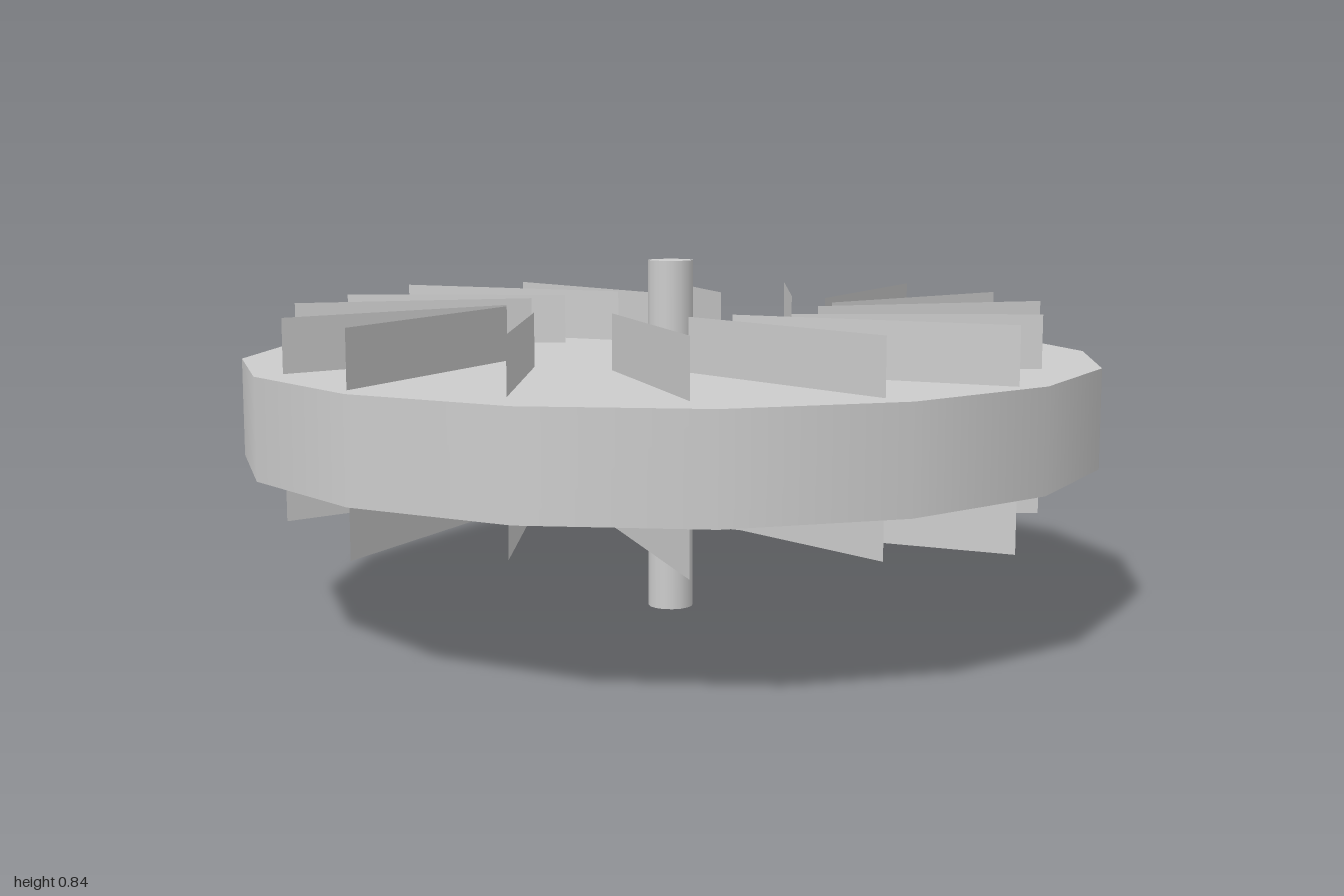
import * as THREE from 'three';

export function createModel() {
  const model = new THREE.Group();
  const material = new THREE.MeshStandardMaterial({ color: 0xcccccc });
  const thin = new THREE.MeshStandardMaterial({ color: 0xcccccc, side: THREE.DoubleSide });
  const start = THREE.MathUtils.degToRad(10.2);

  // Upright cylinder between two heights
  function upright(name, radius, bottom, top) {
    const geometry = new THREE.CylinderGeometry(radius, radius, top - bottom, 16, 1, false, start);
    const mesh = new THREE.Mesh(geometry, material);
    mesh.name = name;
    mesh.position.y = (bottom + top) / 2;
    model.add(mesh);
  }
  upright('disc', 1.016, 0.385, 0.615);
  upright('shaft', 0.054, 0, 0.843);

  // Four swept vanes of one quarter: outer x, z, inner x, z, bottom, top
  const vanes = [
    [0.965, -0.13, 0.38, 0.14, 0.262, 0.742],
    [0.92, 0.22, 0.325, 0.22, 0.288, 0.738],
    [0.71, 0.545, 0.18, 0.32, 0.262, 0.742],
    [0.43, 0.78, 0.01, 0.41, 0.288, 0.738],
  ];

  // Vanes pass through the disc and repeat in each quarter turn
  for (let quarter = 0; quarter < 4; quarter++) {
    const group = new THREE.Group();
    group.name = 'vaneQuarter';
    group.rotation.y = quarter * Math.PI / 2;
    for (const [ox, oz, ix, iz, bottom, top] of vanes) {
      const length = Math.hypot(ox - ix, oz - iz);
      const vane = new THREE.Mesh(new THREE.PlaneGeometry(length, top - bottom), thin);
      vane.name = 'vane';
      vane.position.set((ox + ix) / 2, (bottom + top) / 2, (oz + iz) / 2);
      vane.rotation.y = -Math.atan2(oz - iz, ox - ix);
      group.add(vane);
    }
    model.add(group);
  }
  return model;
}
